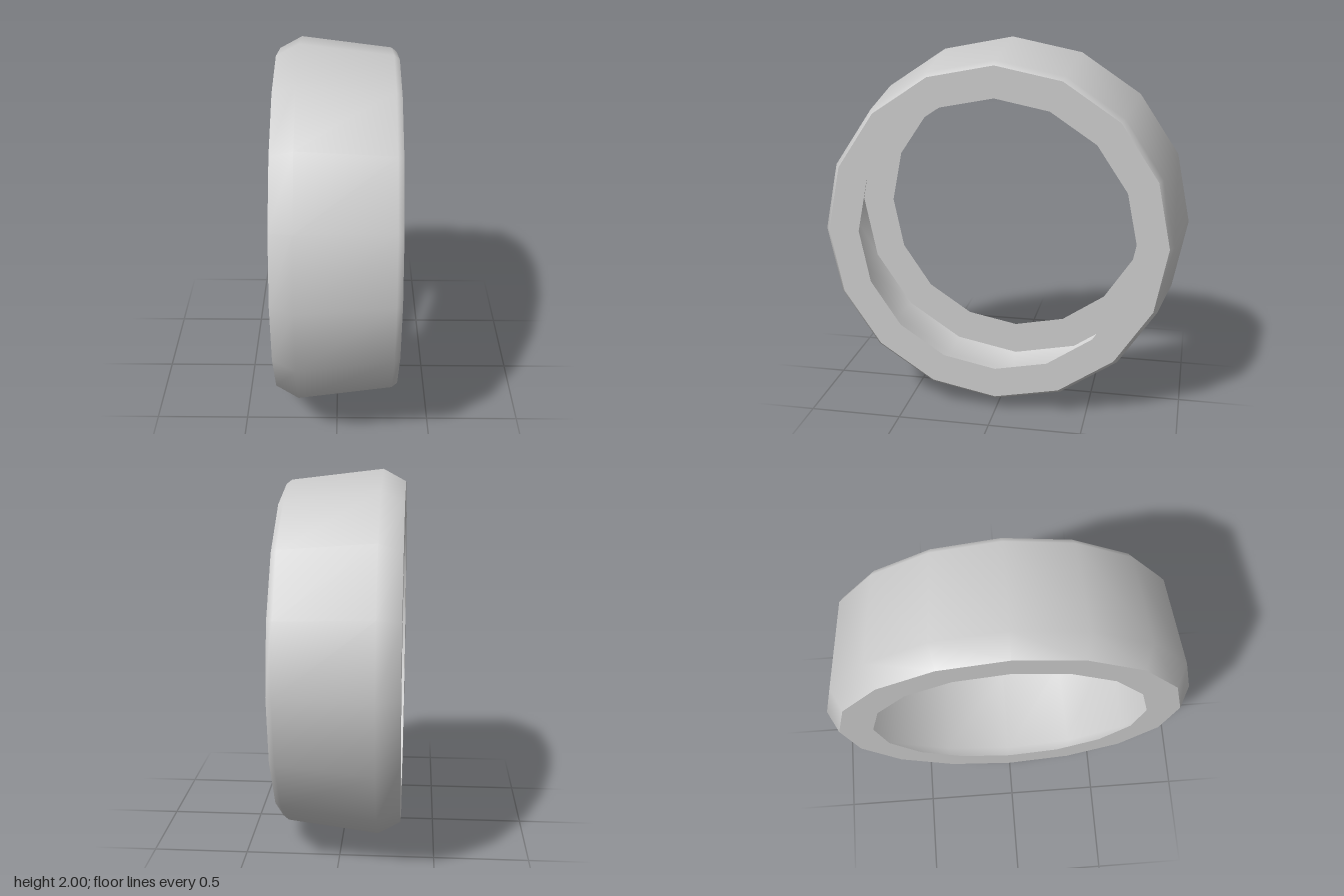
import * as THREE from 'three';

const SIDES = 16;
const HOLE_RADIUS = 0.75;

export function createModel() {
  const group = new THREE.Group();
  group.name = 'hollowTyre';
  const grey = new THREE.MeshStandardMaterial({ color: 0xcccccc, side: THREE.DoubleSide });
  grey.name = 'lightGrey';

  // Thin outer shell: radius and position along the x axis
  const profile = [[0.935, -0.32], [1, -0.2], [0.94, 0.29], [0.917, 0.32]]
    .map(([r, x]) => new THREE.Vector2(r, x));
  const shell = new THREE.LatheGeometry(profile, SIDES);
  shell.rotateZ(-Math.PI / 2);
  addPart('treadShell', shell);

  // Flat side walls, open in the middle
  for (const [name, radius, x, dir] of [['leftSideWall', 0.917, 0.32, 1], ['rightSideWall', 0.935, -0.32, -1]]) {
    const wall = new THREE.RingGeometry(HOLE_RADIUS, radius, SIDES);
    wall.rotateY(dir * Math.PI / 2);
    wall.translate(x, 0, 0);
    addPart(name, wall);
  }

  function addPart(name, geometry) {
    const mesh = new THREE.Mesh(geometry, grey);
    mesh.name = name;
    mesh.position.y = 1;
    group.add(mesh);
  }
  return group;
}
